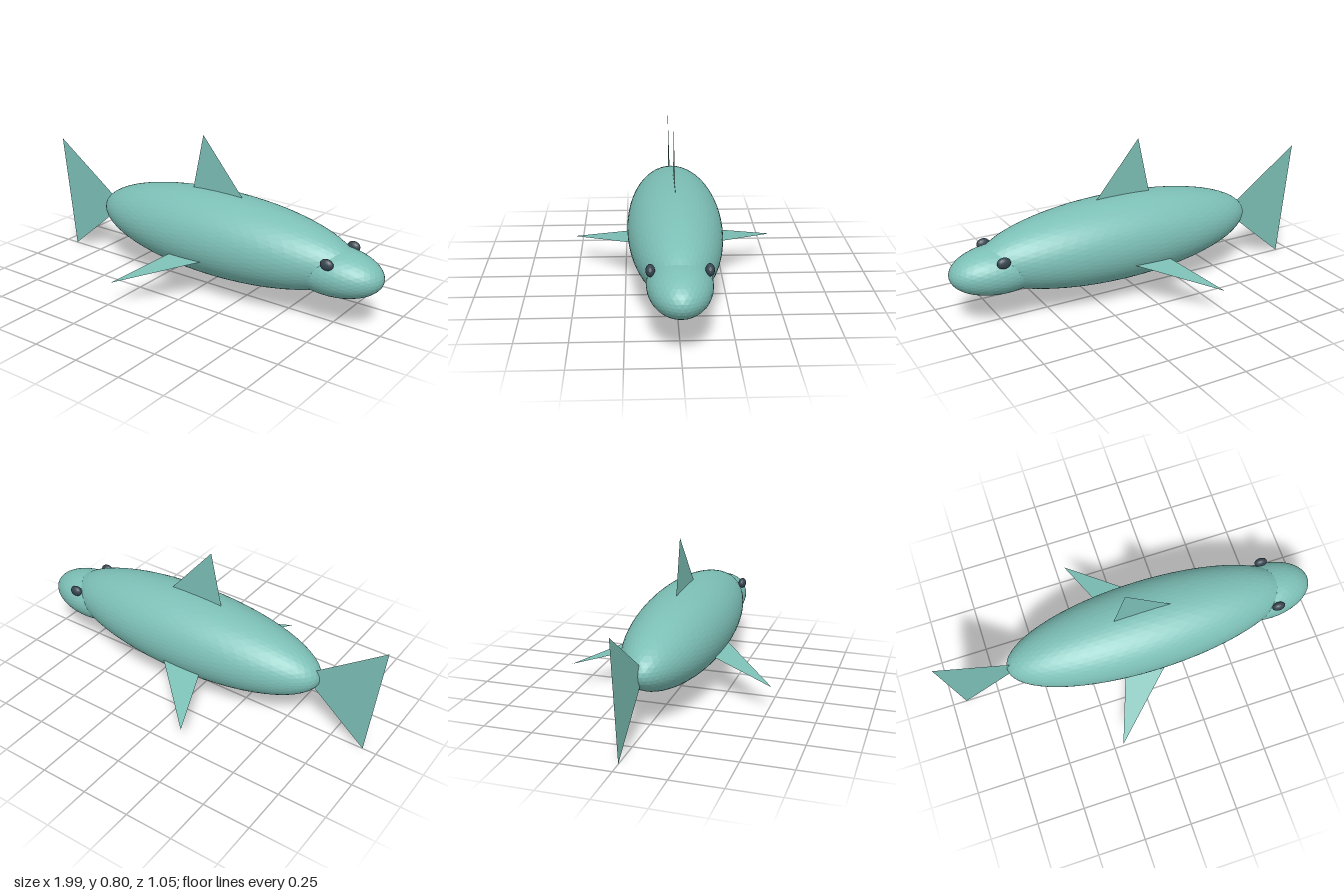
import * as THREE from 'three';

const skin = new THREE.MeshStandardMaterial({ color: 0x7cbfb6, flatShading: true });
const finSkin = new THREE.MeshStandardMaterial({ color: 0x7cbfb6, flatShading: true, side: THREE.DoubleSide });
const dark = new THREE.MeshStandardMaterial({ color: 0x36454f, flatShading: true });

// Faceted ellipsoid with given centre and radii
function ellipsoid(name, center, radii, detail, material) {
  const geometry = new THREE.IcosahedronGeometry(1, detail);
  geometry.scale(...radii);
  const mesh = new THREE.Mesh(geometry, material);
  mesh.name = name;
  mesh.position.set(...center);
  return mesh;
}

// Thin triangular fin through three corners
function fin(name, a, b, c) {
  const geometry = new THREE.BufferGeometry();
  geometry.setAttribute('position', new THREE.Float32BufferAttribute([...a, ...b, ...c], 3));
  geometry.computeVertexNormals();
  const mesh = new THREE.Mesh(geometry, finSkin);
  mesh.name = name;
  return mesh;
}

export function createModel() {
  const fish = new THREE.Group();
  fish.name = 'fish';

  // Body and head
  fish.add(ellipsoid('body', [0.098, 0.313, 0], [0.763, 0.217, 0.237], 10, skin));
  fish.add(ellipsoid('head', [0.74, 0.281, 0], [0.255, 0.121, 0.15], 6, skin));

  // Upright fins, rooted inside the body
  fish.add(fin('tailFin', [-0.57, 0.313, 0], [-1, 0.62, 0], [-0.928, 0.008, 0]));
  fish.add(fin('dorsalFin', [-0.094, 0.49, 0], [0.245, 0.49, 0], [-0.025, 0.81, 0]));

  // Paired eyes and side fins
  for (const [side, s] of [['left', 1], ['right', -1]]) {
    fish.add(ellipsoid(side + 'Eye', [0.77, 0.362, s * 0.131], [0.034, 0.028, 0.021], 3, dark));
    fish.add(fin(side + 'PectoralFin',
      [-0.08, 0.231, s * 0.17], [0.17, 0.25, s * 0.17], [-0.21, 0.148, s * 0.523]));
  }
  return fish;
}
